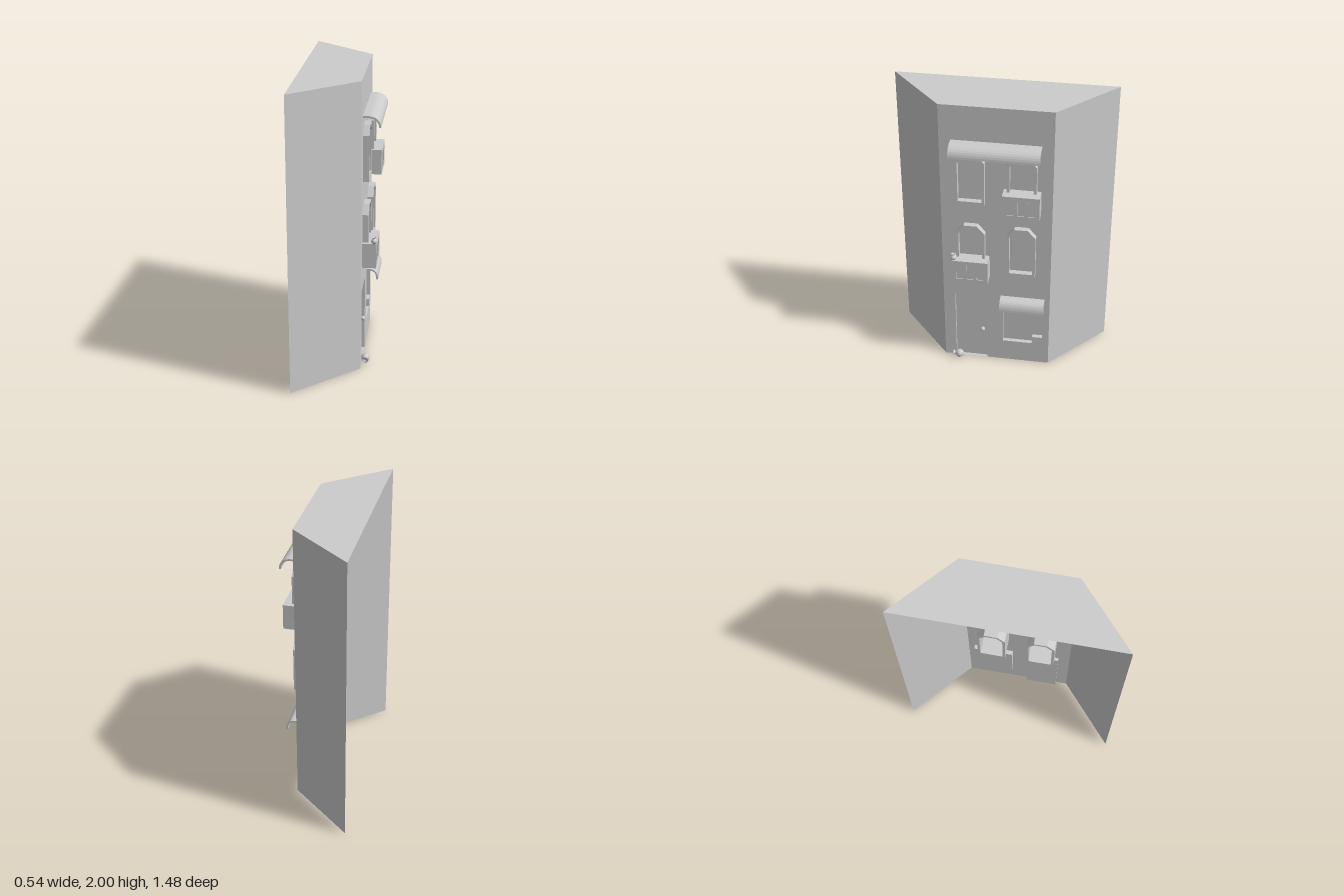
import * as THREE from 'three';

const mat = new THREE.MeshStandardMaterial({ color: 0xcccccc, side: THREE.DoubleSide });
const FACE = 0.15; // plane of the facade

function add(parent, name, geometry, x = 0, y = 0, z = 0) {
  const mesh = new THREE.Mesh(geometry, mat);
  mesh.name = name;
  mesh.position.set(x, y, z);
  parent.add(mesh);
  return mesh;
}

const toShape = (pts) => new THREE.Shape(pts.map(([x, y]) => new THREE.Vector2(x, y)));
const extrude = (shape, depth) =>
  new THREE.ExtrudeGeometry(shape, { depth, bevelEnabled: false, curveSegments: 8 });
const rect = (x0, y0, x1, y1) => [[x0, y0], [x1, y0], [x1, y1], [x0, y1]];

// Flat quad from four 3D corners, anticlockwise from its front
function quad(a, b, c, d) {
  const g = new THREE.BufferGeometry();
  g.setAttribute('position', new THREE.Float32BufferAttribute([a, b, c, a, c, d].flat(), 3));
  g.computeVertexNormals();
  return g;
}

// Shallow niche: a back panel and jambs around the outline
function recess(parent, name, pts, depth) {
  const group = new THREE.Group();
  group.name = name;
  add(group, 'panel', new THREE.ShapeGeometry(toShape(pts)), 0, 0, FACE - depth);
  pts.forEach(([x0, y0], i) => {
    const [x1, y1] = pts[(i + 1) % pts.length];
    add(group, 'jamb', quad([x0, y0, FACE], [x1, y1, FACE],
      [x1, y1, FACE - depth], [x0, y0, FACE - depth]));
  });
  parent.add(group);
}

// Window outline with clipped upper corners, shrunk by an inset
function windowOutline(inset) {
  const w = 0.097 - inset, h = 0.37 - inset, s = 0.31 - inset * 0.4, t = 0.046 - inset * 0.4;
  return [[-w, inset], [w, inset], [w, s], [t, h], [-t, h], [-w, s]];
}

// Curved awning; the profile runs outward from the wall and droops
function awning(parent, name, x0, x1, top, reach, drop) {
  const s = new THREE.Shape();
  const th = 0.013;
  s.moveTo(0, top);
  s.lineTo(reach * 0.3, top);
  s.bezierCurveTo(reach * 0.72, top, reach, top - drop * 0.4, reach, top - drop);
  s.lineTo(reach - th, top - drop);
  s.bezierCurveTo(reach - th, top - drop * 0.5, reach * 0.68, top - th, reach * 0.3, top - th);
  s.lineTo(0, top - th);
  const g = extrude(s, x1 - x0);
  g.rotateY(-Math.PI / 2); // profile x becomes outward z
  add(parent, name, g, x1, 0, FACE);
}

// Planter box with shallow slots in its front
function planter(parent, x, y) {
  const group = new THREE.Group();
  group.name = 'planter';
  const w = 0.245, h = 0.172, d = 0.095, lip = 0.006;
  add(group, 'planterBox', new THREE.BoxGeometry(w, h, d - lip), 0, h / 2, (d - lip) / 2);
  const front = toShape(rect(-w / 2, 0, w / 2, h));
  for (const sx of [-0.07, 0, 0.07]) {
    front.holes.push(toShape(rect(sx - 0.022, 0.03, sx + 0.022, h - 0.03)));
  }
  add(group, 'planterFront', extrude(front, lip), 0, 0, d - lip);
  group.position.set(x, y, FACE);
  parent.add(group);
}

// Round-bellied vase of unit belly radius
function vase() {
  const pts = [[0, 0], [0.5, 0.05], [0.9, 0.5], [1, 1], [0.85, 1.5], [0.4, 1.85],
    [0.38, 2.05], [0.75, 2.4], [0.6, 2.4], [0, 2.05]];
  return new THREE.LatheGeometry(pts.map(([r, y]) => new THREE.Vector2(r, y)), 16);
}

export function createModel() {
  const root = new THREE.Group();
  root.name = 'townhouse';
  const house = new THREE.Group(); // built facing +z, then turned to face +x
  house.name = 'house';
  house.rotation.y = Math.PI / 2;
  root.add(house);

  // Wedge-shaped shell, open at back and bottom
  const H = 2, F = 0.37, B = 0.74, zb = -0.27;
  const door = rect(-0.29, 0, -0.065, 0.545);
  const shop = [[0.045, 0.165], [0.252, 0.165], [0.252, 0.222], [0.325, 0.222], [0.325, 0.53], [0.045, 0.53]];
  const facade = toShape([[-F, 0], [-0.29, 0], [-0.29, 0.545], [-0.065, 0.545], [-0.065, 0], [F, 0], [F, H], [-F, H]]);
  facade.holes.push(toShape(shop));
  add(house, 'facade', new THREE.ShapeGeometry(facade), 0, 0, FACE);
  add(house, 'leftWall', quad([-B, 0, zb], [-F, 0, FACE], [-F, H, FACE], [-B, H, zb]));
  add(house, 'rightWall', quad([F, 0, FACE], [B, 0, zb], [B, H, zb], [F, H, FACE]));
  add(house, 'roof', quad([-F, H, FACE], [F, H, FACE], [B, H, zb], [-B, H, zb]));

  // Door and shop window
  recess(house, 'door', door, 0.022);
  recess(house, 'shopWindow', shop, 0.03);
  add(house, 'doorKnob', new THREE.SphereGeometry(0.016, 16, 10), -0.1, 0.245, 0.142);

  // Window frames, running deep into the room
  for (const y of [0.77, 1.31]) {
    for (const x of [-0.17, 0.17]) {
      const ring = toShape(windowOutline(0));
      ring.holes.push(toShape(windowOutline(0.018)));
      add(house, 'windowFrame', extrude(ring, 0.185), x, y, 0.005);
    }
  }

  planter(house, -0.168, 0.715);
  planter(house, 0.173, 1.253);
  awning(house, 'upperAwning', -0.293, 0.293, 1.757, 0.115, 0.075);
  awning(house, 'lowerAwning', 0.03, 0.335, 0.562, 0.083, 0.076);

  // Vases: one standing on a planter, one lying by the door
  add(house, 'planterVase', vase(), -0.28, 0.885, 0.228).scale.setScalar(0.02);
  const fallen = add(house, 'fallenVase', vase(), -0.236, 0.031, 0.176);
  fallen.scale.setScalar(0.03);
  fallen.rotation.z = Math.PI / 2;

  return root;
}
